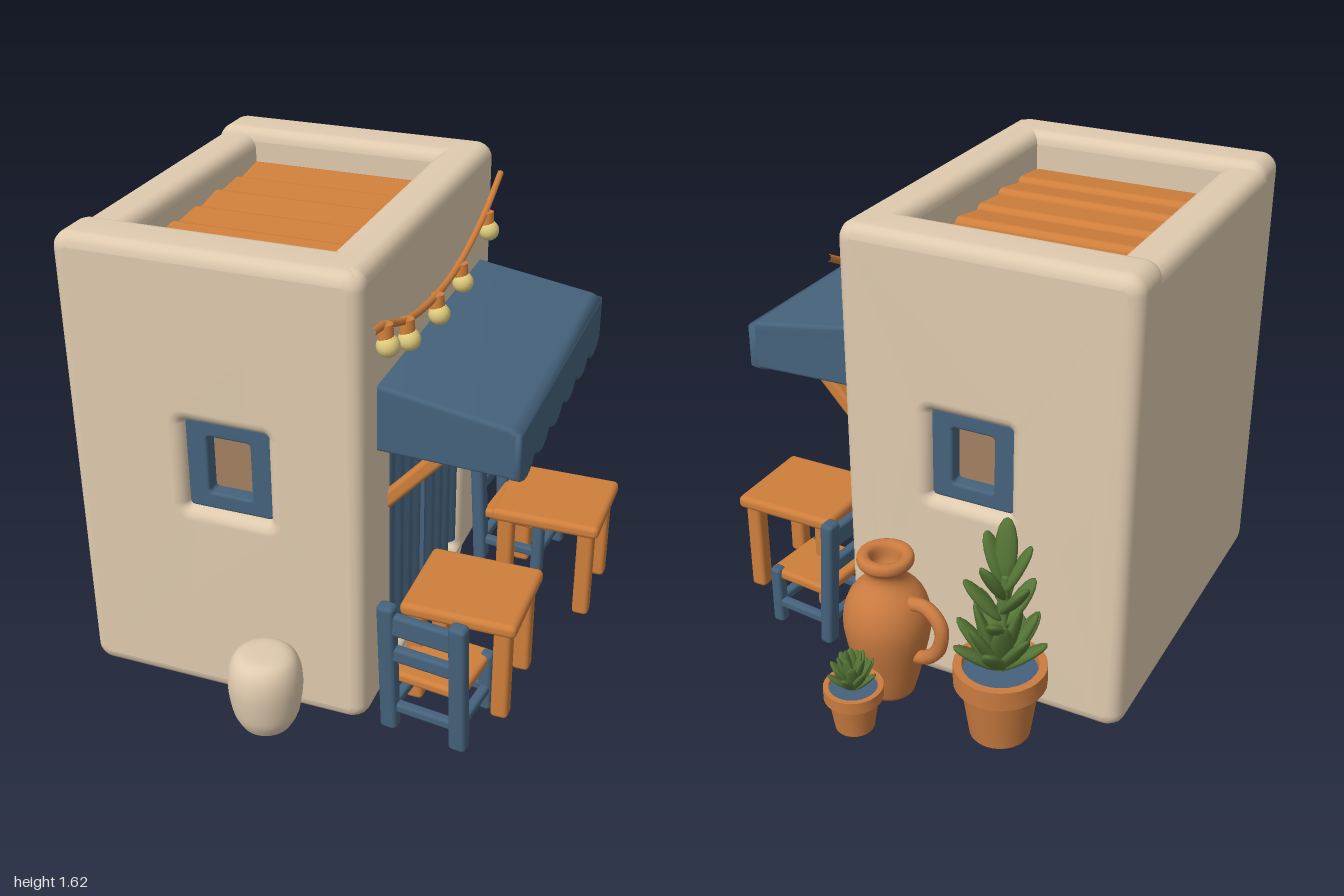
import * as THREE from 'three';
import { mergeVertices, toCreasedNormals } from 'three/addons/utils/BufferGeometryUtils.js';
import { RoundedBoxGeometry } from 'three/addons/geometries/RoundedBoxGeometry.js';

const mat = (name, color) => Object.assign(new THREE.MeshStandardMaterial({ color }), { name });
const plaster = mat('plaster', 0xdfcaae);
const wood = mat('wood', 0xce7e3b);
const clay = mat('clay', 0xca7b40);
const blue = mat('blue', 0x45627b);
const shade = mat('interior', 0xa28060);
const green = mat('leaf', 0x567536);
const glow = mat('bulb', 0xdfcb7d);

function add(parent, name, geometry, material, x = 0, y = 0, z = 0) {
  const mesh = new THREE.Mesh(geometry, material);
  mesh.name = name;
  mesh.position.set(x, y, z);
  parent.add(mesh);
  return mesh;
}

function group(parent, name, x = 0, y = 0, z = 0) {
  const g = new THREE.Group();
  g.name = name;
  g.position.set(x, y, z);
  parent.add(g);
  return g;
}

const block = (w, h, d, r = 0.015) => new RoundedBoxGeometry(w, h, d, 3, r);

// Rounded beam between two points
function beam(parent, name, material, a, b, w, d = w) {
  const p = new THREE.Vector3(...a), q = new THREE.Vector3(...b);
  const dir = q.clone().sub(p);
  const m = add(parent, name, block(w, dir.length(), d, Math.min(w, d) * 0.3), material);
  m.position.copy(p).add(q).multiplyScalar(0.5);
  m.quaternion.setFromUnitVectors(new THREE.Vector3(0, 1, 0), dir.normalize());
  return m;
}

function rect(x0, y0, x1, y1, r, Type = THREE.Shape) {
  const s = new Type();
  s.moveTo(x0 + r, y0);
  s.lineTo(x1 - r, y0);
  s.absarc(x1 - r, y0 + r, r, -Math.PI / 2, 0);
  s.absarc(x1 - r, y1 - r, r, 0, Math.PI / 2);
  s.absarc(x0 + r, y1 - r, r, Math.PI / 2, Math.PI);
  s.absarc(x0 + r, y0 + r, r, Math.PI, Math.PI * 1.5);
  return s;
}

const polygon = (pts) => new THREE.Shape(pts.map((p) => new THREE.Vector2(...p)));

// Extruded slab with softened edges, filling z = 0..depth; area-weighted smooth normals
function slab(shape, depth, b) {
  const g = new THREE.ExtrudeGeometry(shape, {
    depth: depth - 2 * b, bevelThickness: b, bevelSize: b, bevelOffset: -b, bevelSegments: 4, curveSegments: 6,
  });
  g.deleteAttribute('uv');
  g.deleteAttribute('normal');
  const smooth = mergeVertices(g.translate(0, 0, b), 1e-5);
  smooth.computeVertexNormals();
  return smooth;
}
// Same slab turned so that depth runs along x and the shape's u is -z
const sideSlab = (shape, depth, b) => slab(shape, depth, b).rotateY(Math.PI / 2);

function buildHouse(root) {
  const house = group(root, 'house');
  // End walls with framed windows
  for (const [side, z, frameZ, paneZ] of [['front', 0.6, 0.675, 0.7], ['back', -0.55, -0.515, -0.46]]) {
    const wall = rect(-0.8, 0.003, 0.22, 1.62, 0.06);
    wall.holes.push(rect(-0.39, 0.72, -0.1, 1.035, 0.012, THREE.Path));
    add(house, side + 'Wall', slab(wall, 0.19, 0.045), plaster, 0, 0, z);
    const frame = rect(-0.395, 0.715, -0.095, 1.04, 0.02);
    frame.holes.push(rect(-0.32, 0.775, -0.17, 0.98, 0.012, THREE.Path));
    add(house, side + 'WindowFrame', slab(frame, 0.08, 0.01), blue, 0, 0, frameZ);
    add(house, side + 'WindowPane', new THREE.BoxGeometry(0.2, 0.26, 0.008), shade, -0.245, 0.877, paneZ);
  }
  // Side walls, the right one with the doorway
  add(house, 'plainWall', sideSlab(rect(-0.79, 0.003, 0.55, 1.595, 0.06), 0.16, 0.045), plaster, -0.8);
  const doorWall = rect(-0.79, 0.003, 0.55, 1.62, 0.06);
  doorWall.holes.push(rect(-0.51, 0.05, 0.25, 1.03, 0.02, THREE.Path));
  add(house, 'doorWall', sideSlab(doorWall, 0.16, 0.045), plaster, 0.06);
  add(house, 'interior', new THREE.BoxGeometry(0.76, 1.38, 1.0), shade, -0.29, 0.74, 0.12);
  // Overlapping roof planks
  for (let i = 0; i < 6; i++) {
    const plank = add(house, 'roofPlank', block(0.74, 0.07, 0.19, 0.03), wood, -0.29, 1.455, -0.29 + i * 0.164);
    plank.rotation.x = i % 2 ? 0.09 : 0.16;
  }
}

function buildAwning(root) {
  const awning = group(root, 'awning');
  const top = [[0.2, 1.16], [0.67, 1.08], [0.675, 1.13], [0.64, 1.145], [0.2, 1.215]];
  add(awning, 'awningTop', slab(polygon(top), 1.08, 0.015), blue, 0, 0, -0.42);
  const cheek = polygon([[0.2, 0.985], [0.67, 0.97], [0.67, 1.13], [0.2, 1.205]]);
  for (const z of [-0.42, 0.62]) add(awning, 'awningSide', slab(cheek, 0.04, 0.012), blue, 0, 0, z);
  // Scalloped valance
  const s = new THREE.Shape();
  s.moveTo(-0.66, 1.13);
  s.lineTo(-0.66, 0.975);
  for (let i = 0; i < 6; i++) {
    const u = -0.66 + i * 0.18;
    s.quadraticCurveTo(u + 0.09, 0.895, u + 0.18, 0.975);
  }
  s.lineTo(0.42, 1.13);
  add(awning, 'valance', sideSlab(s, 0.045, 0.012), blue, 0.633);
  for (const z of [0.54, -0.34]) beam(awning, 'brace', wood, [0.2, 0.73, z], [0.5, 1.06, z], 0.05);
}

// Rippled door curtains
function buildCurtains(root) {
  for (const z of [0.345, -0.085]) {
    const g = new THREE.BoxGeometry(0.025, 0.94, 0.32, 1, 1, 32);
    const p = g.attributes.position;
    for (let i = 0; i < p.count; i++) p.setX(i, p.getX(i) + 0.011 * Math.sin(p.getZ(i) * 68));
    g.computeVertexNormals();
    add(root, 'curtain', g, blue, 0.18, 0.56, z);
  }
}

function buildLights(root) {
  const lights = group(root, 'lightString');
  const pts = [[0.76, 1.44], [0.66, 1.42], [0.46, 1.35], [0.18, 1.315], [-0.07, 1.33], [-0.36, 1.41], [-0.55, 1.5]];
  const path = new THREE.CatmullRomCurve3(pts.map(([z, y]) => new THREE.Vector3(0.245, y, z)));
  add(lights, 'cord', new THREE.TubeGeometry(path, 40, 0.012, 8), wood);
  for (const [z, y] of [[0.67, 1.36], [0.48, 1.295], [0.185, 1.255], [-0.07, 1.265], [-0.37, 1.345]]) {
    add(lights, 'socket', new THREE.CylinderGeometry(0.022, 0.026, 0.05, 12), wood, 0.253, y + 0.045, z);
    add(lights, 'bulb', new THREE.SphereGeometry(0.037, 16, 12), glow, 0.26, y, z);
  }
}

function buildTable(root, x, z) {
  const table = group(root, 'table', x, 0, z);
  add(table, 'tableTop', block(0.4, 0.05, 0.365, 0.02), wood, 0, 0.372, 0);
  for (const sx of [-1, 1]) for (const sz of [-1, 1]) {
    add(table, 'tableLeg', block(0.06, 0.36, 0.06), wood, sx * 0.15, 0.18, sz * 0.135);
  }
}

// Chair facing its own -z, backrest at +z
function buildChair(root, x, z, turn) {
  const chair = group(root, 'chair', x, 0, z);
  chair.rotation.y = turn;
  add(chair, 'seat', block(0.26, 0.04, 0.26), wood, 0, 0.205, -0.01);
  for (const s of [-1, 1]) {
    beam(chair, 'backPost', blue, [s * 0.125, 0, 0.12], [s * 0.125, 0.51, 0.15], 0.06, 0.05);
    beam(chair, 'frontLeg', blue, [s * 0.12, 0, -0.11], [s * 0.12, 0.23, -0.11], 0.045);
    beam(chair, 'sideRail', blue, [s * 0.12, 0.085, -0.12], [s * 0.12, 0.085, 0.12], 0.035);
  }
  for (const [y, h] of [[0.44, 0.08], [0.32, 0.055]]) {
    add(chair, 'backSlat', block(0.25, h, 0.035, 0.012), blue, 0, y, 0.12 + y * 0.06);
  }
  for (const d of [-0.11, 0.12]) add(chair, 'crossRail', block(0.24, 0.035, 0.035, 0.01), blue, 0, 0.09, d);
}

// Smooth lathe through a few profile points
function turned(pts) {
  const curve = new THREE.SplineCurve(pts.map((p) => new THREE.Vector2(...p)));
  return new THREE.LatheGeometry([new THREE.Vector2(0, pts[0][1]), ...curve.getPoints(36)], 32);
}

function leaf(parent, y, z, yaw, tilt, length, width) {
  const g = new THREE.SphereGeometry(1, 10, 8).translate(0, 1, 0).scale(width, length / 2, width * 0.5);
  const m = add(parent, 'leaf', g, green, 0, y, z);
  m.rotation.set(tilt, yaw, 0, 'YXZ');
}

function buildPot(root, name, x, z, r, h) {
  const pot = group(root, name, x, 0, z);
  const profile = [[0, 0], [r * 0.66, 0], [r * 0.84, h * 0.72], [r, h * 0.74], [r, h], [r * 0.82, h], [r * 0.78, h * 0.85], [0, h * 0.85]];
  const g = new THREE.LatheGeometry(profile.map((p) => new THREE.Vector2(...p)), 28);
  add(pot, 'pot', toCreasedNormals(g, 0.6), clay);
  add(pot, 'potFill', new THREE.CylinderGeometry(r * 0.8, r * 0.8, 0.02, 24), blue, 0, h * 0.88, 0);
  return pot;
}

function buildPots(root) {
  // Rounded plaster stone by the front wall
  const stone = [[0.085, 0], [0.112, 0.06], [0.125, 0.17], [0.112, 0.245], [0.075, 0.28], [0, 0.285]];
  add(root, 'stoneJar', turned(stone), plaster, -0.095, 0, 0.875);
  // Tall jar with one handle
  const jar = group(root, 'tallJar', 0, 0, -0.67);
  jar.rotation.y = -0.2;
  const body = [[0.088, 0], [0.11, 0.08], [0.15, 0.27], [0.13, 0.38], [0.075, 0.45], [0.072, 0.49], [0.095, 0.515],
    [0.09, 0.545], [0.055, 0.54], [0.045, 0.48], [0, 0.46]];
  add(jar, 'jarBody', turned(body), clay);
  const loop = [[-0.1, 0.39], [-0.18, 0.4], [-0.235, 0.35], [-0.225, 0.26], [-0.17, 0.2], [-0.11, 0.18]];
  const path = new THREE.CatmullRomCurve3(loop.map(([x, y]) => new THREE.Vector3(x, y, 0)));
  add(jar, 'jarHandle', new THREE.TubeGeometry(path, 28, 0.025, 10), clay);
  // Large potted plant: spreading rosette plus a tall leafy stem
  const big = buildPot(root, 'largePlant', -0.44, -0.7, 0.155, 0.27);
  for (let i = 0; i < 16; i++) leaf(big, 0.25, 0, i * 2.4, 0.95 - i * 0.045, 0.2 + i * 0.005, 0.037);
  beam(big, 'stem', green, [0, 0.22, 0], [0, 0.6, 0.03], 0.035);
  for (let i = 0; i < 9; i++) leaf(big, 0.36 + i * 0.025, i * 0.003, i * 2.4 + 1, 0.9 - i * 0.06, 0.19, 0.036);
  leaf(big, 0.57, 0.025, 0.2, 0.15, 0.225, 0.038);
  // Small potted succulent
  const small = buildPot(root, 'smallPlant', 0, -0.9, 0.1, 0.165);
  for (let i = 0; i < 20; i++) leaf(small, 0.145, 0, i * 2.4, 0.85 - i * 0.036, 0.115 + i * 0.002, 0.021);
}

export function createModel() {
  const root = new THREE.Group();
  root.name = 'courtyardCafe';
  buildHouse(root);
  buildAwning(root);
  buildCurtains(root);
  buildLights(root);
  buildTable(root, 0.48, 0.44);
  buildTable(root, 0.6, -0.22);
  buildChair(root, 0.44, 0.65, -0.12);
  buildChair(root, 0.43, -0.41, -Math.PI / 2 - 0.1);
  buildPots(root);
  return root;
}
